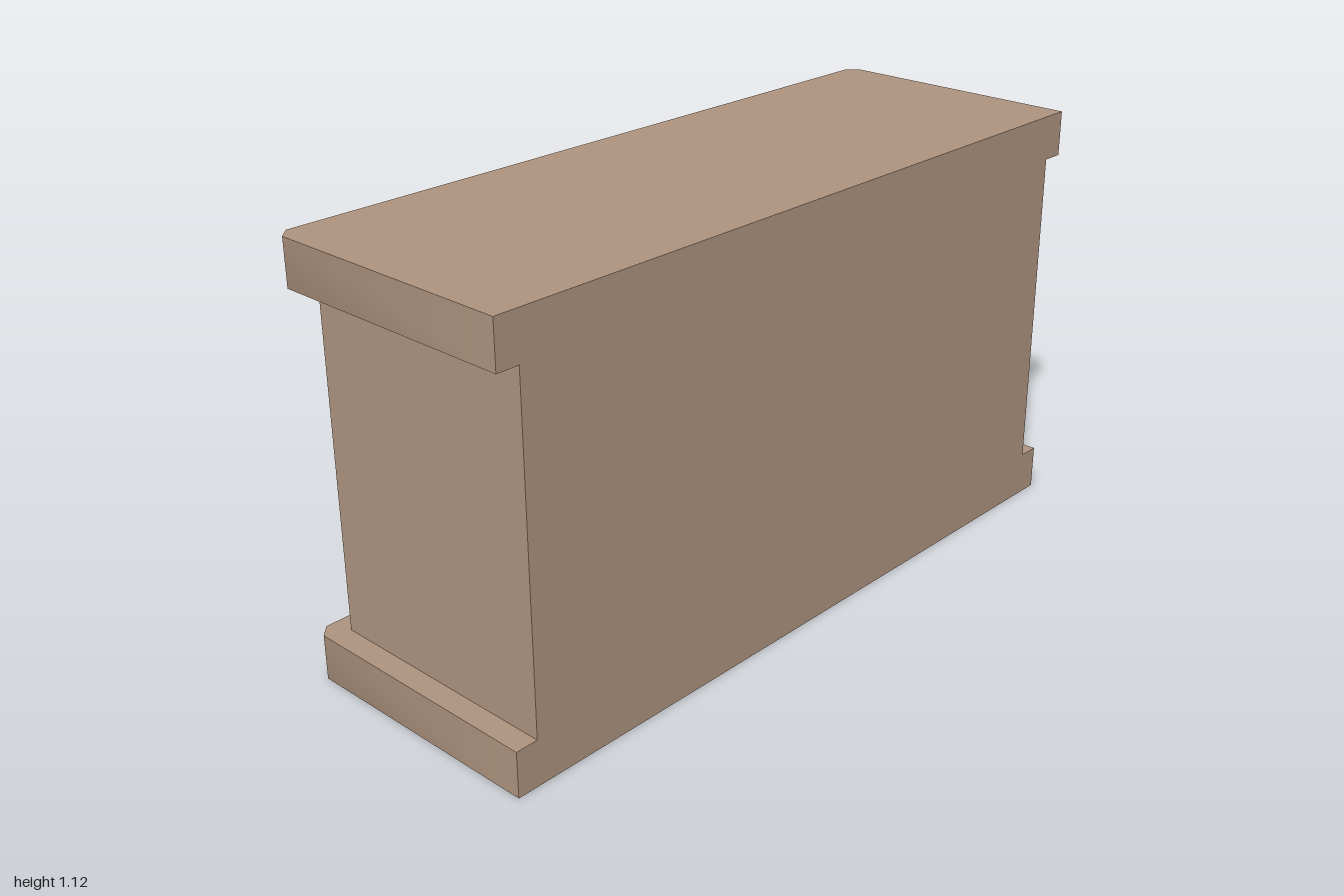
import * as THREE from 'three';
import { toCreasedNormals } from 'three/addons/utils/BufferGeometryUtils.js';

const HALF_X = 0.357, SLAB_H = 0.12, HEIGHT = 1.12;
const BODY_FRONT = -0.3, BODY_HALF_Z = 0.94, POCKET_END = 0.24;

// Trace a rectangle whose four corners are cut by [c0..c3], starting bottom left
function cutRect(path, x0, y0, x1, y1, cuts) {
  const corners = [[x0, y0, 1, 1], [x1, y0, -1, 1], [x1, y1, -1, -1], [x0, y1, 1, -1]];
  const pts = [];
  corners.forEach(([x, y, sx, sy], i) => {
    const c = cuts[i];
    if (!c) return pts.push(new THREE.Vector2(x, y));
    const a = new THREE.Vector2(x, y + sy * c), b = new THREE.Vector2(x + sx * c, y);
    pts.push(...(i % 2 ? [b, a] : [a, b]));
  });
  return path.setFromPoints(pts);
}

// Extrude with the 45 degree corner cuts shaded smooth and square edges kept sharp
function extrude(shape, depth) {
  const geo = new THREE.ExtrudeGeometry(shape, { depth, bevelEnabled: false });
  return geo;
}
const soften = (geo) => toCreasedNormals(geo, THREE.MathUtils.degToRad(50));

export function createModel() {
  const group = new THREE.Group();
  const clay = new THREE.MeshStandardMaterial({ color: 0xae937e });
  clay.name = 'clay brown';

  const add = (name, geo, x = 0, y = 0, z = 0) => {
    const mesh = new THREE.Mesh(geo, clay);
    mesh.name = name;
    mesh.position.set(x, y, z);
    group.add(mesh);
  };

  // Top and bottom slabs, corners cut on the open side
  const slabShape = cutRect(new THREE.Shape(), -HALF_X, -1, HALF_X, 1, [0.03, 0, 0, 0.03]);
  const slab = soften(extrude(slabShape, SLAB_H).rotateX(-Math.PI / 2));
  add('bottomSlab', slab);
  add('topSlab', slab, 0, HEIGHT - SLAB_H);

  // Body frame with two pockets opening to the side
  const frame = cutRect(new THREE.Shape(), -BODY_HALF_Z, SLAB_H, BODY_HALF_Z, HEIGHT - SLAB_H, [0, 0, 0, 0]);
  for (const side of [-1, 1]) {
    const c = side * 0.44;
    frame.holes.push(cutRect(new THREE.Path(), c - 0.387, 0.228, c + 0.387, 0.892, [0.055, 0.055, 0.055, 0.055]));
  }
  const frameGeo = extrude(frame, POCKET_END - BODY_FRONT).rotateY(Math.PI / 2);
  add('pocketFrame', soften(frameGeo), BODY_FRONT);

  // Closed wall behind the pockets
  const wall = HALF_X - POCKET_END;
  add('backWall', new THREE.BoxGeometry(wall, HEIGHT - 2 * SLAB_H, BODY_HALF_Z * 2),
    POCKET_END + wall / 2, HEIGHT / 2);

  return group;
}
